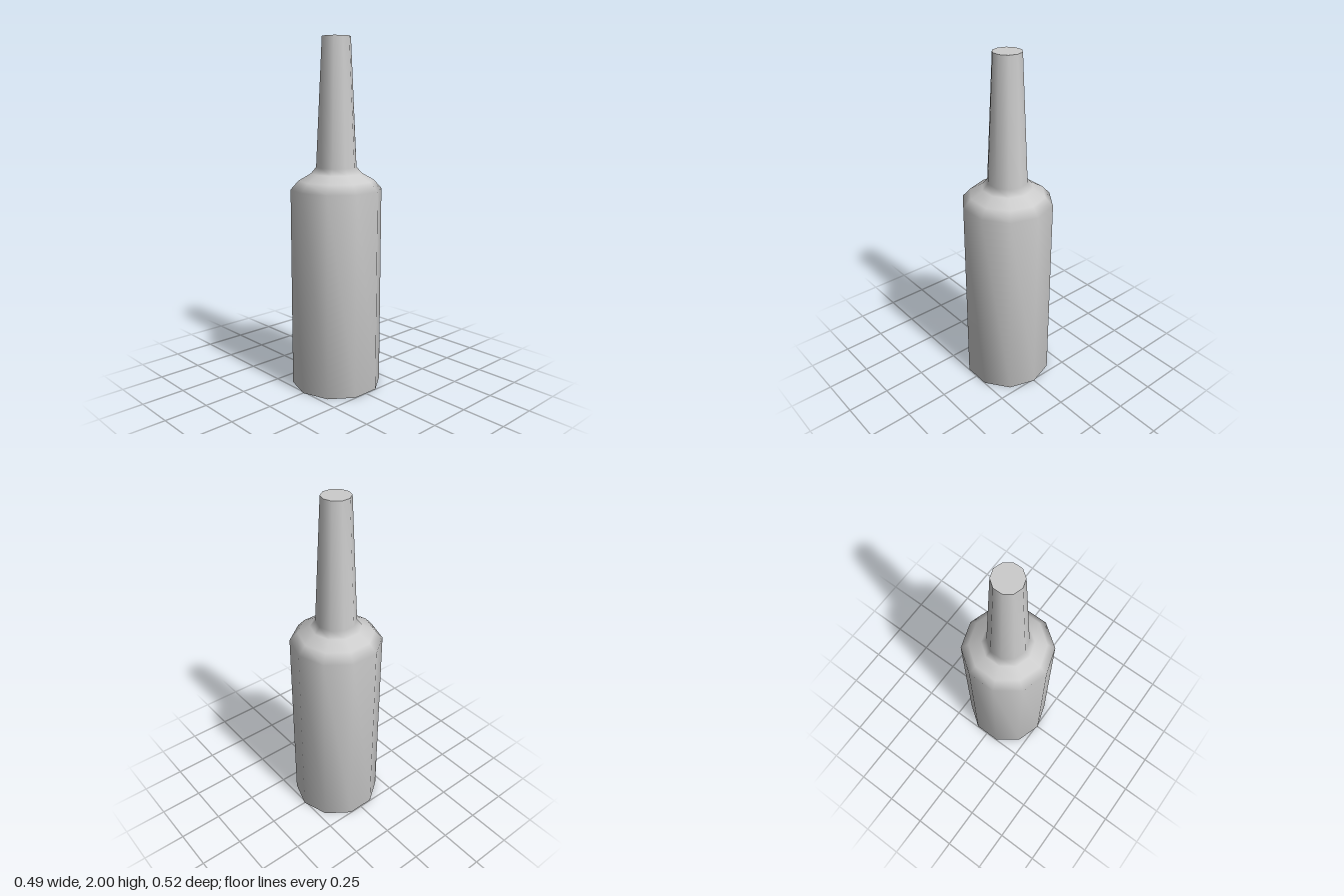
import * as THREE from 'three';
import { mergeVertices } from 'three/addons/utils/BufferGeometryUtils.js';

const SIDES = 10;

export function createModel() {
  const bottle = new THREE.Group();
  bottle.name = 'bottle';
  const material = new THREE.MeshStandardMaterial({ color: 0xcccccc });

  // Base, straight wall, rounded shoulder and tapering neck in one profile
  const profile = [
    [0, 0], [0.26, 0], [0.26, 1.16], [0.215, 1.21],
    [0.145, 1.25], [0.115, 1.285], [0.08, 2],
  ].map(([r, y]) => new THREE.Vector2(r, y));
  let shell = new THREE.LatheGeometry(profile, SIDES);

  // Weld the seam so the shading is smooth all the way round
  shell.deleteAttribute('normal');
  shell.deleteAttribute('uv');
  shell = mergeVertices(shell);
  shell.computeVertexNormals();
  const body = new THREE.Mesh(shell, material);
  body.name = 'bottleBody';

  // Flat, crisp top of the neck
  const cap = new THREE.CircleGeometry(0.08, SIDES, Math.PI / 2);
  cap.rotateX(-Math.PI / 2);
  const neckTop = new THREE.Mesh(cap, material);
  neckTop.name = 'neckTop';
  neckTop.position.y = 2;

  bottle.add(body, neckTop);
  return bottle;
}
